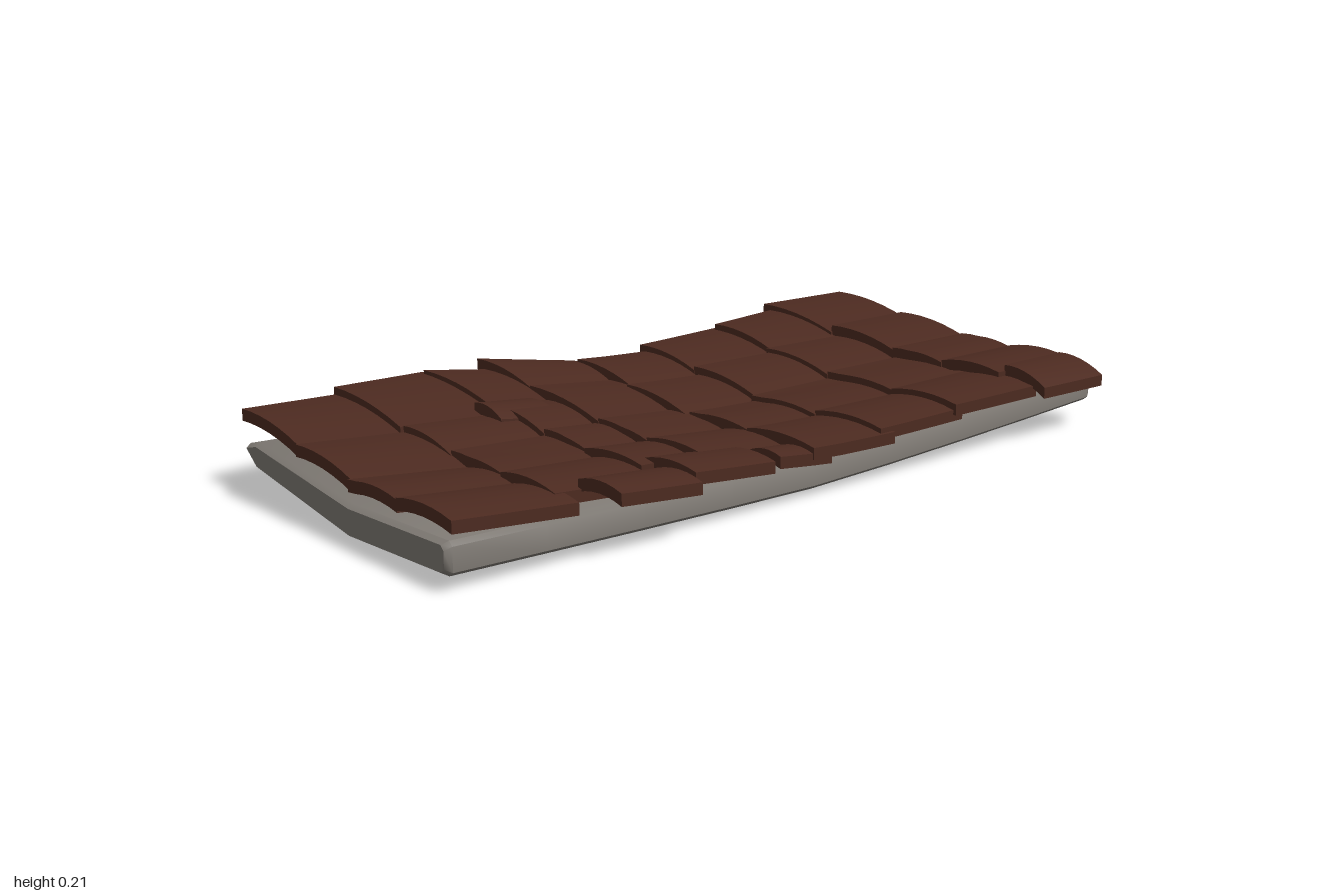
import * as THREE from 'three';
import { toCreasedNormals } from 'three/addons/utils/BufferGeometryUtils.js';

const lerp = THREE.MathUtils.lerp;

// The whole panel sags along its length and is creased along x = 0.07
const sag = z => (z > 0 ? 0.02 : 0.045) * Math.pow(Math.abs(z), 1.3);
const roofTop = (x, z) => 0.077 + sag(z) + (x < 0.07 ? (0.07 - x) * 0.108 : (x - 0.07) * 0.036);

// Slab: a bevelled cross-section swept along z with inset ends
function slabGeometry() {
  const profile = [
    [-0.355, 0.075], [-0.335, 0.06], [0.07, 0], [0.425, 0.014], [0.438, 0.024],
    [0.438, 0.078], [0.428, 0.088], [0.07, 0.075], [-0.335, 0.122], [-0.38, 0.11],
  ];
  const stations = [-1, -0.985, -0.75, -0.5, -0.25, 0, 0.25, 0.5, 0.75, 0.98, 0.995];
  const n = profile.length, last = stations.length - 1;
  const pos = [], index = [];
  stations.forEach((z, k) => {
    const end = k === 0 || k === last;
    profile.forEach(([x, y], i) => {
      const px = x < 0 ? x + 0.02 * (1 - z * z) : x;
      const inset = end ? (i < 5 ? 0.008 : -0.008) : 0;
      pos.push(end ? px * 0.98 : px, y + inset + sag(z), z);
    });
  });
  for (let k = 0; k < last; k++) {
    for (let i = 0; i < n; i++) {
      const j = (i + 1) % n;
      const a = k * n + i, b = k * n + j, c = b + n, d = a + n;
      index.push(a, b, c, a, c, d);
    }
  }
  for (let i = 0; i < n / 2 - 1; i++) {
    const a = i, b = i + 1, c = n - 2 - i, d = n - 1 - i, f = last * n;
    index.push(a, c, b, a, d, c);
    index.push(f + a, f + b, f + c, f + a, f + c, f + d);
  }
  const g = new THREE.BufferGeometry();
  g.setAttribute('position', new THREE.Float32BufferAttribute(pos, 3));
  g.setIndex(index);
  return toCreasedNormals(g, 0.9);
}

// Shingle: a thin arched box bent onto the roof, its front end lifted over the next row
function shingleGeometry(t) {
  const g = new THREE.BoxGeometry(1, 1, 1, 6, 1, 3);
  const p = g.attributes.position;
  for (let i = 0; i < p.count; i++) {
    const u = p.getX(i) + 0.5, v = p.getZ(i) + 0.5, top = p.getY(i) > 0;
    const x = lerp(lerp(t.back[0], t.back[1], u), lerp(t.front[0], t.front[1], u), v);
    const z = lerp(t.z0, t.z1, v);
    const arch = 0.012 * (1 - Math.pow(2 * u - 1, 2));
    const lift = lerp(-0.006, 0.01, v) + lerp(t.left, t.right, u) + arch;
    p.setXYZ(i, x, roofTop(x, z) + lift + (top ? 0.028 : 0), z);
  }
  return toCreasedNormals(g, 0.6);
}

// Rows from back to front: depth range, then the x of the joints at the back and front ends
const rows = [
  { z: [-0.98, -0.70], back: [-0.48, -0.22, 0.01, 0.18, 0.37], front: [-0.49, -0.22, 0.01, 0.18, 0.37] },
  { z: [-0.75, -0.45], back: [-0.47, -0.20, 0.02, 0.24, 0.46], front: [-0.43, -0.21, 0.02, 0.25, 0.46] },
  { z: [-0.48, -0.18], back: [-0.45, -0.20, 0.02, 0.25, 0.45], front: [-0.42, -0.20, 0.03, 0.25, 0.465] },
  { z: [-0.22, 0.04], back: [-0.40, -0.18, 0.04, 0.25, 0.47], front: [-0.41, -0.19, 0.04, 0.25, 0.47] },
  { z: [0.02, 0.27], back: [-0.44, -0.27, -0.02, 0.17, 0.37], front: [-0.52, -0.29, -0.02, 0.16, 0.36] },
  { z: [0.23, 0.43], back: [-0.48, -0.22, -0.03, 0.13, 0.30], front: [-0.51, -0.22, -0.02, 0.14, 0.34] },
  { z: [0.42, 0.70], back: [-0.53, -0.20, -0.02, 0.18, 0.38], front: [-0.48, -0.19, 0.0, 0.20, 0.39] },
  { z: [0.68, 0.97], back: [-0.48, -0.19, 0.06, 0.25, 0.44], front: [-0.44, -0.19, 0.04, 0.23, 0.43] },
];

// Odd shingles that hang over the left edge or patch a gap
const loose = [
  { z0: -0.96, z1: -0.73, back: [0.36, 0.50], front: [0.37, 0.50], left: 0.025, right: -0.015 },
  { z0: -0.02, z1: 0.14, back: [0.34, 0.47], front: [0.36, 0.47], left: -0.01, right: -0.005 },
  { z0: 0.16, z1: 0.39, back: [0.30, 0.475], front: [0.30, 0.475], left: 0.005, right: 0.005 },
  { z0: 0.41, z1: 0.63, back: [0.37, 0.52], front: [0.38, 0.525], left: 0.015, right: 0.012 },
  { z0: 0.31, z1: 0.475, back: [-0.24, -0.11], front: [-0.23, -0.12], left: 0.012, right: 0.006 },
];

export function createModel() {
  const stone = new THREE.MeshStandardMaterial({ name: 'stone grey', color: 0x7d7872 });
  const brown = new THREE.MeshStandardMaterial({ name: 'shingle brown', color: 0x4c2a20 });
  const model = new THREE.Group();
  model.name = 'roofPanel';

  const slab = new THREE.Mesh(slabGeometry(), stone);
  slab.name = 'slab';
  model.add(slab);

  let seed = 7;
  const rand = () => (seed = (seed * 16807) % 2147483647) / 2147483647;
  const addShingle = (parent, t) => {
    const m = new THREE.Mesh(shingleGeometry(t), brown);
    m.name = 'shingle';
    parent.add(m);
  };

  rows.forEach((r, k) => {
    const row = new THREE.Group();
    row.name = 'shingleRow' + (k + 1);
    for (let i = 0; i < r.back.length - 1; i++) {
      const raised = k === 0 && i > 0 ? 0.01 : 0;
      // Each shingle tucks slightly under its neighbour
      addShingle(row, {
        z0: r.z[0] + (rand() - 0.5) * 0.015, z1: r.z[1] + (rand() - 0.5) * 0.015,
        back: [r.back[i], r.back[i + 1] + 0.003],
        front: [r.front[i], r.front[i + 1] + 0.003],
        left: raised + 0.003 + rand() * 0.006,
        right: raised - 0.003 + rand() * 0.006,
      });
    }
    model.add(row);
  });

  const extras = new THREE.Group();
  extras.name = 'looseShingles';
  loose.forEach(t => addShingle(extras, t));
  model.add(extras);
  return model;
}
